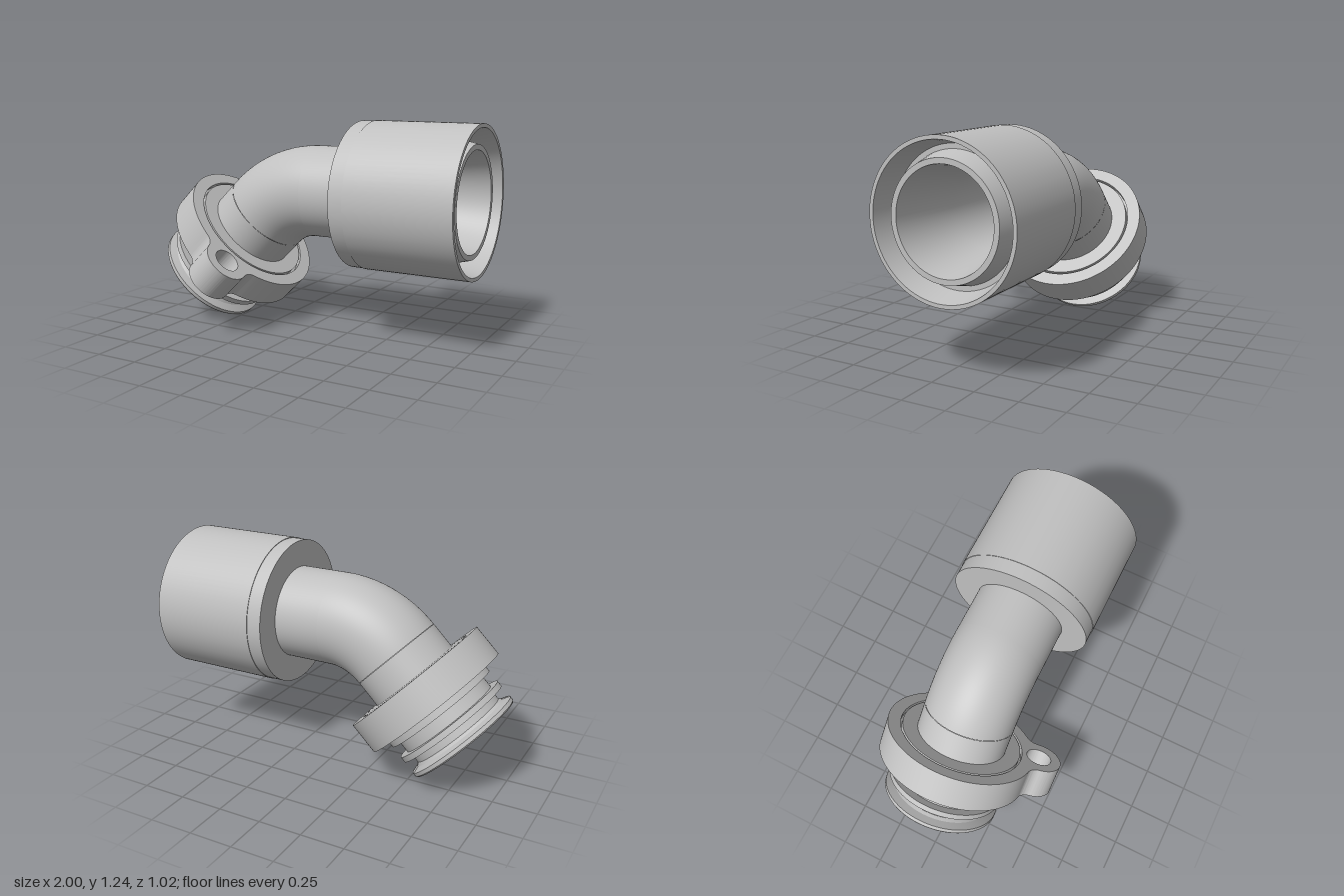
import * as THREE from 'three';
import { toCreasedNormals } from 'three/addons/utils/BufferGeometryUtils.js';

const AXIS_Y = 0.823, AXIS_Z = -0.07;   // centre line of the straight pipe
const PIPE = 0.267, BORE = 0.2225;      // outer and inner pipe radius
const BEND = 0.51, BEND_X = 0.03;       // bend radius and where it starts

const grey = new THREE.MeshStandardMaterial({ color: 0xc0c0c0, side: THREE.DoubleSide });
grey.name = 'satin grey';

function part(name, geometry) {
  const mesh = new THREE.Mesh(toCreasedNormals(geometry, 0.4), grey);
  mesh.name = name;
  return mesh;
}

// Turned part from [radius, height] pairs, outside running upwards
function turned(name, profile) {
  const points = profile.map(([r, h]) => new THREE.Vector2(r, h));
  return part(name, new THREE.LatheGeometry(points, 96));
}

// Disc with one bolt ear, joined by concave fillets
function flangeShape() {
  const disc = 0.442, ear = 0.135, fillet = 0.08;
  const ex = 0.155, ey = -0.445;
  const dist = Math.hypot(ex, ey), dir = Math.atan2(ey, ex);
  const reach = disc + fillet;
  const a = Math.acos((reach ** 2 + dist ** 2 - (ear + fillet) ** 2) / (2 * dist * reach));
  const centre = (angle) => [reach * Math.cos(angle), reach * Math.sin(angle)];
  const [ax, ay] = centre(dir - a), [bx, by] = centre(dir + a);
  const toEarA = Math.atan2(ey - ay, ex - ax), toEarB = Math.atan2(ey - by, ex - bx);

  const shape = new THREE.Shape();
  shape.absarc(0, 0, disc, dir + a, dir - a + Math.PI * 2, false);
  shape.absarc(ax, ay, fillet, dir - a + Math.PI, toEarA, true);
  shape.absarc(ex, ey, ear, toEarA + Math.PI, toEarB + Math.PI, false);
  shape.absarc(bx, by, fillet, toEarB, dir + a + Math.PI, true);
  for (const [x, y, r] of [[0, 0, 0.367], [ex, ey, 0.075]]) {
    shape.holes.push(new THREE.Path().absarc(x, y, r, 0, Math.PI * 2, true));
  }
  return shape;
}

export function createModel() {
  const model = new THREE.Group();
  model.name = 'pipeElbow';

  // Straight pipe with its double-walled socket
  const socket = turned('socket', [
    [PIPE, BEND_X], [PIPE, 0.30], [0.42, 0.30], [0.42, 0.385], [0.4235, 0.385],
    [0.4235, 1], [0.402, 1], [0.37, 0.85], [0.343, 0.85], [0.313, 0.97],
    [0.283, 0.97], [BORE, 0.55], [BORE, BEND_X],
  ]);
  socket.rotation.z = -Math.PI / 2;
  socket.position.set(0, AXIS_Y, AXIS_Z);
  model.add(socket);

  // 45 degree bend, outer wall and bore
  for (const [name, radius] of [['bendWall', PIPE], ['bendBore', BORE]]) {
    const geometry = new THREE.TorusGeometry(BEND, radius, 96, 32, Math.PI / 4);
    if (radius === BORE) {
      // Turn the bore to face inwards
      const index = geometry.index.array;
      for (let i = 0; i < index.length; i += 3) [index[i], index[i + 1]] = [index[i + 1], index[i]];
    }
    const bend = part(name, geometry);
    bend.rotation.z = Math.PI / 2;
    bend.position.set(BEND_X, AXIS_Y - BEND, AXIS_Z);
    model.add(bend);
  }

  // Slanted plug end; its local y runs up the pipe
  const plug = new THREE.Group();
  plug.name = 'plugEnd';
  plug.rotation.z = -Math.PI / 4;
  plug.position.set(-0.76, 0.245, AXIS_Z);
  plug.add(turned('groovedSpigot', [
    [BORE, 0.605], [BORE, 0.10], [0.30, 0], [0.338, 0], [0.345, 0.008], [0.345, 0.03],
    [0.30, 0.045], [0.285, 0.06], [0.285, 0.106], [0.343, 0.106], [0.343, 0.14],
    [0.295, 0.14], [0.295, 0.212], [0.343, 0.212], [0.343, 0.258], [0.369, 0.26],
    [0.369, 0.415], [0.355, 0.415], [0.355, 0.445], [PIPE, 0.445], [PIPE, 0.605],
  ]));

  // Mounting flange
  const plate = new THREE.ExtrudeGeometry(flangeShape(), {
    depth: 0.187, bevelEnabled: false, curveSegments: 64,
  });
  plate.rotateX(-Math.PI / 2);
  const flange = part('flange', plate);
  flange.position.y = 0.258;
  plug.add(flange);
  model.add(plug);

  return model;
}
